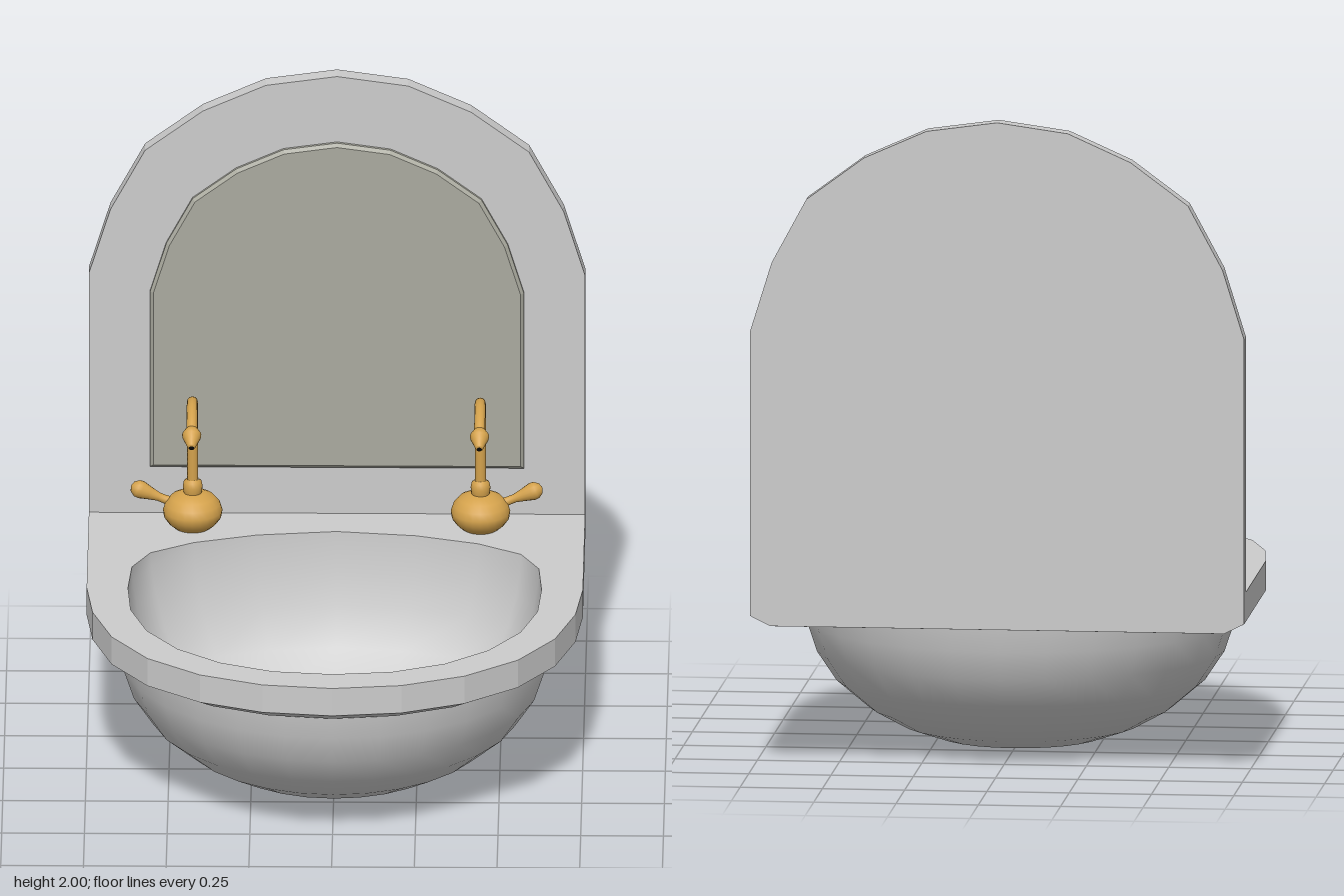
import * as THREE from 'three';
import { mergeVertices } from 'three/addons/utils/BufferGeometryUtils.js';

const ceramic = new THREE.MeshStandardMaterial({ color: 0xcccccc });
const ceramicFlat = new THREE.MeshStandardMaterial({ color: 0xcccccc, flatShading: true });
const glass = new THREE.MeshStandardMaterial({ color: 0xaaaa9f, flatShading: true });
const brass = new THREE.MeshStandardMaterial({ color: 0xd4a24c });
const black = new THREE.MeshStandardMaterial({ color: 0x080808 });

const v2 = (x, y) => new THREE.Vector2(x, y);

function add(parent, name, geometry, material) {
  const mesh = new THREE.Mesh(geometry, material);
  mesh.name = name;
  parent.add(mesh);
  return mesh;
}

// Closed outline from its +x half; centre points are not doubled
const mirrored = (half) => [
  ...half,
  ...half.filter((p) => p[0] !== 0).reverse().map(([x, y]) => [-x, y]),
];

// Skin between rings of [x, z] points at given heights; bottom to top faces outwards
function loft(rings) {
  const n = rings[0].points.length;
  const positions = [];
  const index = [];
  rings.forEach(({ points, y }) => points.forEach(([x, z]) => positions.push(x, y, z)));
  for (let i = 0; i < rings.length - 1; i++) {
    for (let j = 0; j < n; j++) {
      const k = (j + 1) % n;
      const a = i * n + j, b = i * n + k, c = b + n, d = a + n;
      index.push(a, b, c, a, c, d);
    }
  }
  const g = new THREE.BufferGeometry();
  g.setAttribute('position', new THREE.Float32BufferAttribute(positions, 3));
  g.setIndex(index);
  const merged = mergeVertices(g);
  merged.computeVertexNormals();
  return merged;
}

// Flat horizontal face with a hole, facing up or down
function flatFace(outline, hole, y, up) {
  const s = up ? -1 : 1;
  const shape = new THREE.Shape(outline.map(([x, z]) => v2(x, s * z)));
  shape.holes.push(new THREE.Path(hole.map(([x, z]) => v2(x, s * z))));
  return new THREE.ShapeGeometry(shape).rotateX(s * Math.PI / 2).translate(0, y, 0);
}

// Basin plan outlines, front centre to back
const counterOutline = mirrored([
  [0, 0.7], [0.21, 0.675], [0.4, 0.6], [0.56, 0.475], [0.67, 0.31],
  [0.73, 0.12], [0.75, -0.07], [0.75, -0.7],
]);
const underOutline = counterOutline.map(([x, z]) => [x * 0.91, z > 0 ? z * 0.93 : z]);
const bowlOpening = mirrored([
  [0, 0.59], [0.18, 0.57], [0.34, 0.505], [0.47, 0.4], [0.565, 0.26], [0.615, 0.1],
  [0.625, -0.07], [0.615, -0.23], [0.56, -0.34], [0.43, -0.42], [0.24, -0.48], [0, -0.51],
]);
const DRAIN_Z = 0.03;

function buildBasin() {
  const basin = new THREE.Group();
  basin.name = 'basin';
  add(basin, 'counterTop', flatFace(counterOutline, bowlOpening, 0.565, true), ceramicFlat);
  add(basin, 'counterUnderside', flatFace(underOutline, bowlOpening, 0.445, false), ceramicFlat);
  add(basin, 'counterEdge', loft([
    { points: underOutline, y: 0.445 },
    { points: counterOutline, y: 0.475 },
    { points: counterOutline, y: 0.565 },
  ]), ceramicFlat);

  // Inside of the bowl shrinks from the opening towards the drain
  const inner = [[1, 0.565], [0.995, 0.52], [0.975, 0.44], [0.93, 0.34], [0.84, 0.22],
    [0.68, 0.13], [0.45, 0.08], [0.2, 0.06], [0.07, 0.05]];
  add(basin, 'bowlInside', loft(inner.map(([s, y]) => ({
    y,
    points: bowlOpening.map(([x, z]) => [x * s, DRAIN_Z + (z - DRAIN_Z) * s]),
  }))), ceramic);

  // Rounded outside of the bowl
  const outer = [[0, 0], [0.14, 0.002], [0.25, 0.012], [0.36, 0.05], [0.46, 0.105],
    [0.56, 0.19], [0.62, 0.28], [0.65, 0.37], [0.66, 0.447]];
  const bowl = new THREE.LatheGeometry(outer.map(([x, y]) => v2(x, y)), 28);
  add(basin, 'bowlOutside', bowl, ceramic).position.z = -0.02;
  return basin;
}

// Arched panel outline: stepped arch above straight sides
const arch = [[0.75, 0], [0.685, 0.21], [0.58, 0.405], [0.405, 0.535], [0.215, 0.62], [0, 0.65]];
const archPoints = (scale, springY) => arch.map(([x, y]) => [x * scale, springY + y * scale]);
const toShape = (half) => new THREE.Shape(mirrored(half).map(([x, y]) => v2(x, y)));

function buildBack(group) {
  const panel = toShape([[0.69, 0.446], [0.75, 0.476], ...archPoints(1, 1.35)]);
  add(group, 'backPanel', new THREE.ExtrudeGeometry(panel, { depth: 0.055, bevelEnabled: false }),
    ceramicFlat).position.z = -0.705;
  const mirror = toShape([[0.565, 0.72], ...archPoints(0.753, 1.296)]);
  add(group, 'mirror', new THREE.ExtrudeGeometry(mirror, {
    depth: 0.01, bevelThickness: 0.01, bevelSize: 0.01, bevelOffset: -0.01, bevelSegments: 1,
  }), glass).position.z = -0.65;
}

const lathe = (profile, segments = 20) =>
  new THREE.LatheGeometry(profile.map(([x, y]) => v2(x, y)), segments);

// Tap built around its own vertical axis; side is the direction of the lever
function buildTap(side) {
  const tap = new THREE.Group();
  tap.name = side > 0 ? 'leftTap' : 'rightTap';

  add(tap, 'tapBase', lathe([[0.055, 0], [0.073, 0.015], [0.087, 0.035], [0.09, 0.055],
    [0.083, 0.077], [0.066, 0.097], [0.04, 0.11], [0, 0.115]], 24), brass);
  add(tap, 'collar', lathe([[0.024, 0.1], [0.028, 0.115], [0.03, 0.132], [0.027, 0.148],
    [0.018, 0.156]]), brass);

  // Swan-neck spout
  const path = new THREE.CatmullRomCurve3([[0.11, 0], [0.25, 0], [0.335, 0], [0.395, 0.022],
    [0.437, 0.068], [0.452, 0.135], [0.438, 0.205], [0.412, 0.25]]
    .map(([y, z]) => new THREE.Vector3(0, y, z)));
  add(tap, 'spout', new THREE.TubeGeometry(path, 36, 0.0165, 12), brass);

  // Flared nozzle with a dark outlet
  const nozzle = new THREE.Group();
  nozzle.name = 'nozzle';
  add(nozzle, 'nozzleBody', lathe([[0.016, -0.015], [0.023, -0.004], [0.029, 0.008],
    [0.028, 0.018], [0.021, 0.035], [0.012, 0.058], [0.01, 0.062], [0, 0.062]]), brass);
  add(nozzle, 'outlet', new THREE.CircleGeometry(0.008, 12).rotateX(-Math.PI / 2), black)
    .position.y = 0.063;
  nozzle.position.set(0, 0.412, 0.248);
  nozzle.rotation.x = Math.PI / 2 + 0.42;
  tap.add(nozzle);

  // Teardrop lever pointing outwards
  const lever = add(tap, 'lever', lathe([[0.016, 0], [0.013, 0.03], [0.013, 0.05], [0.02, 0.08],
    [0.027, 0.106], [0.026, 0.12], [0.016, 0.134], [0, 0.14]], 16), brass);
  lever.position.set(side * 0.058, 0.072, -0.012);
  lever.rotation.z = -side * 1.17;

  tap.position.set(side * 0.435, 0.565, -0.547);
  return tap;
}

export function createModel() {
  const model = new THREE.Group();
  model.name = 'washbasin';
  model.add(buildBasin());
  buildBack(model);
  model.add(buildTap(1), buildTap(-1));

  // Drain ring and its dark hole
  add(model, 'drainRing', new THREE.TorusGeometry(0.044, 0.011, 10, 24).rotateX(Math.PI / 2), brass)
    .position.set(0, 0.058, DRAIN_Z);
  add(model, 'drainHole', new THREE.CircleGeometry(0.044, 24).rotateX(-Math.PI / 2), black)
    .position.set(0, 0.058, DRAIN_Z);
  return model;
}
